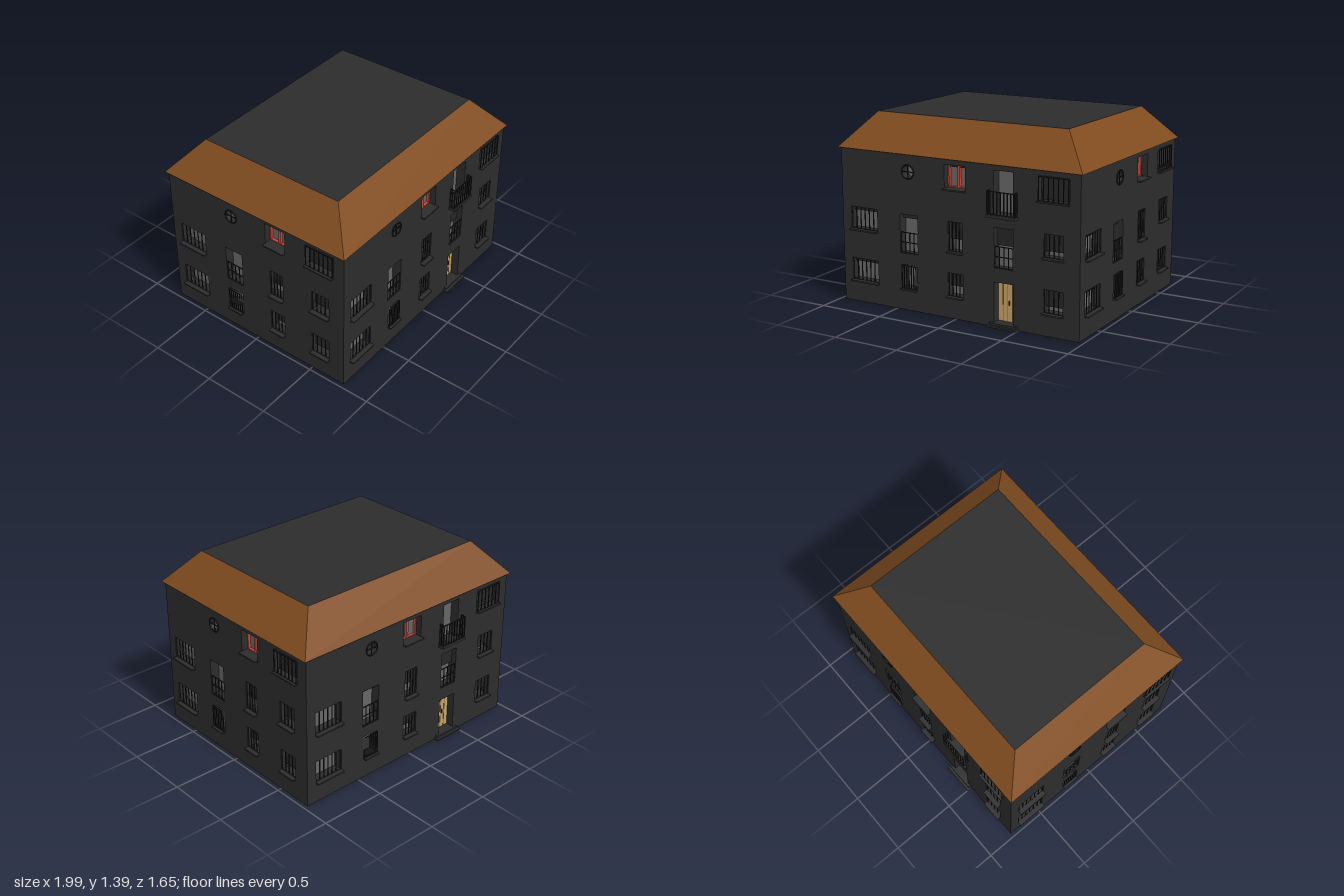
import * as THREE from 'three';

const mat = (color, flatShading = false) =>
  new THREE.MeshStandardMaterial({ color, side: THREE.DoubleSide, flatShading });
const M = {
  wall: mat(0x2c2c2c, true), iron: mat(0x1c1c1c), shutter: mat(0x262626), glass: mat(0x666666),
  red: mat(0xd04a38), wood: mat(0xc4a368), groove: mat(0x7d6438), roof: mat(0x804c20, true),
};
const DEPTH = 0.07;
const unitBox = new THREE.BoxGeometry(1, 1, 1);

function add(parent, name, geo, material, x = 0, y = 0, z = 0) {
  const m = new THREE.Mesh(geo, material);
  m.name = name;
  m.position.set(x, y, z);
  parent.add(m);
  return m;
}
// box given by its low and high limits
function box(parent, name, material, x0, x1, y0, y1, z0, z1) {
  const m = add(parent, name, unitBox, material, (x0 + x1) / 2, (y0 + y1) / 2, (z0 + z1) / 2);
  m.scale.set(x1 - x0, y1 - y0, z1 - z0);
  return m;
}
// row of upright bars with a top and a bottom rail
function bars(parent, name, w, y0, y1, z, n, x = 0) {
  const t = 0.003;
  for (let i = 0; i < n; i++) {
    const bx = x - w / 2 + t + (w - 2 * t) * i / (n - 1);
    box(parent, name, M.iron, bx - t, bx + t, y0, y1, z - t, z + t);
  }
  for (const y of [y0 + t, y1 - t]) box(parent, name + 'Rail', M.iron, x - w / 2, x + w / 2, y - t, y + t, z - t, z + t);
}
// open tube lining a wall opening: 4 sides for a rectangle, many for a round one
function reveal(parent, w, h, y, sides) {
  const r = sides === 4 ? Math.SQRT1_2 : 0.5;
  const g = new THREE.CylinderGeometry(r, r, DEPTH, sides, 1, true, Math.PI / 4);
  g.rotateX(Math.PI / 2).scale(w, h, 1);
  add(parent, 'reveal', g, M.wall, 0, y, -DEPTH / 2);
}

// Opening types: w width, y0..y1 height, shade = lower edge of roller shutter,
// n bars at depth bz up to barTop, sill
const columns = {
  A: [
    { w: 0.23, y0: 0.16, y1: 0.33, shade: 0.295, n: 7, sill: true },
    { w: 0.23, y0: 0.545, y1: 0.715, shade: 0.68, n: 7, sill: true },
  ],
  B: [
    { w: 0.125, y0: 0.16, y1: 0.335, n: 7, bz: 0.01, sill: true },
    { w: 0.15, y0: 0.42, y1: 0.705, shade: 0.67, n: 5, barTop: 0.575, mid: true },
    { kind: 'round', w: 0.1, y0: 0.965, y1: 1.065 },
  ],
  C: [
    { w: 0.125, y0: 0.16, y1: 0.335, shade: 0.23, n: 5, sill: true },
    { w: 0.115, y0: 0.485, y1: 0.705, shade: 0.57, n: 5, sill: true },
    { kind: 'red', w: 0.17, y0: 0.93, y1: 1.1, sill: true },
  ],
  D: [
    { kind: 'door', w: 0.15, y0: 0.03, y1: 0.32 },
    { w: 0.15, y0: 0.42, y1: 0.705, shade: 0.575, n: 5, barTop: 0.575, mid: true },
    { kind: 'balcony', w: 0.15, y0: 0.8, y1: 1.1 },
  ],
  E: [
    { w: 0.15, y0: 0.16, y1: 0.33, shade: 0.2, n: 5, sill: true },
    { w: 0.15, y0: 0.545, y1: 0.715, shade: 0.585, n: 5, sill: true },
    { w: 0.23, y0: 0.93, y1: 1.1, shade: 0.935, n: 7, bz: 0.01, sill: true },
  ],
};

function opening(o) {
  const g = new THREE.Group(), { w, y0, y1, kind } = o, h = w / 2, yc = (y0 + y1) / 2;
  g.name = kind ? kind + 'Opening' : 'window';
  reveal(g, w, y1 - y0, yc, kind === 'round' ? 24 : 4);
  if (kind === 'round') {
    add(g, 'roundGlass', new THREE.CircleGeometry(h, 24), M.glass, 0, yc, -DEPTH);
    add(g, 'roundFrame', new THREE.TorusGeometry(h, 0.005, 6, 24), M.iron, 0, yc, 0.005);
    box(g, 'crossBar', M.iron, -h, h, yc - 0.003, yc + 0.003, -0.003, 0.003);
    box(g, 'crossBar', M.iron, -0.003, 0.003, y0, y1, -0.003, 0.003);
    return g;
  }
  const pane = add(g, kind === 'door' ? 'door' : 'glass', new THREE.PlaneGeometry(w, y1 - y0),
    kind === 'door' ? M.wood : M.glass, 0, yc, -DEPTH);
  if (kind === 'door') {
    // plank grooves, handle and two entrance steps
    pane.position.z = -0.06;
    for (const x of [-0.037, 0, 0.037]) box(g, 'doorGroove', M.groove, x - 0.002, x + 0.002, y0, y1, -0.06, -0.057);
    box(g, 'doorHandle', M.iron, 0.01, 0.016, 0.15, 0.18, -0.06, -0.05);
    box(g, 'lowerStep', M.wall, -0.12, 0.12, 0.002, 0.015, -0.06, 0.04);
    box(g, 'upperStep', M.wall, -0.105, 0.105, 0.015, 0.03, -0.06, 0.02);
  }
  if (kind === 'red') {
    // two red casements
    const t = 0.009, z0 = -DEPTH, z1 = -DEPTH + 0.02;
    for (const y of [y0, y1 - t]) box(g, 'redFrame', M.red, -h, h, y, y + t, z0, z1);
    for (const x of [-h, -t, 0, h - t]) box(g, 'redFrame', M.red, x, x + t, y0, y1, z0, z1);
    box(g, 'shutter', M.shutter, -h + t, h - t, y1 - 0.025, y1 - t, z0, z0 + 0.01);
  }
  if (kind === 'balcony') {
    // slab with railing on three sides
    box(g, 'balconySlab', M.wall, -0.115, 0.115, 0.78, 0.8, -DEPTH, 0.047);
    bars(g, 'balconyBar', 0.22, 0.8, 0.965, 0.04, 9);
    for (const s of [-1, 1]) {
      const side = new THREE.Group();
      side.name = 'balconySide';
      bars(side, 'balconyBar', 0.04, 0.8, 0.965, 0, 3);
      side.rotation.y = Math.PI / 2;
      side.position.set(s * 0.107, 0, 0.02);
      g.add(side);
    }
  }
  if (o.shade) box(g, 'shutter', M.shutter, -h, h, o.shade, y1, -0.05, -0.04);
  if (o.n) bars(g, 'windowBar', w, y0, o.barTop ?? y1, o.bz ?? -0.008, o.n);
  if (o.mid) box(g, 'middleRail', M.iron, -h, h, 0.497, 0.503, -0.011, -0.005);
  if (o.sill) box(g, 'sill', M.wall, -h - 0.003, h + 0.003, y0 - 0.008, y0 + 0.003, -DEPTH, 0.03);
  return g;
}

// one wall with its openings, facing local +z
function facade(halfWidth, top, layout) {
  const g = new THREE.Group(), s = new THREE.Shape();
  s.moveTo(-halfWidth, 0).lineTo(halfWidth, 0).lineTo(halfWidth, top).lineTo(-halfWidth, top).closePath();
  for (const [key, x] of layout) {
    for (const o of columns[key]) {
      const hole = new THREE.Path(), h = o.w / 2;
      if (o.kind === 'round') hole.absarc(x, (o.y0 + o.y1) / 2, h, 0, Math.PI * 2, true);
      else hole.moveTo(x - h, o.y0).lineTo(x - h, o.y1).lineTo(x + h, o.y1).lineTo(x + h, o.y0).closePath();
      s.holes.push(hole);
      const part = opening(o);
      part.position.x = x;
      g.add(part);
    }
  }
  add(g, 'wall', new THREE.ShapeGeometry(s, 12), M.wall);
  return g;
}

export function createModel() {
  const house = new THREE.Group();
  house.name = 'house';
  const X = 0.967, Z = 0.777;
  const long = [['A', -0.775], ['B', -0.388], ['C', 0], ['D', 0.385], ['E', 0.77]];
  const short = [['A', -0.585], ['B', -0.198], ['C', 0.192], ['E', 0.577]];

  // four walls, opposite ones alike
  ['front', 'left', 'back', 'right'].forEach((name, i) => {
    const f = i % 2 ? facade(Z, 1.155, short) : facade(X, 1.152, long);
    f.name = name + 'Facade';
    f.rotation.y = i * Math.PI / 2;
    const d = i % 2 ? X : Z;
    f.position.set(Math.sin(f.rotation.y) * d, 0, Math.cos(f.rotation.y) * d);
    house.add(f);
  });

  // sloping roof skirt and flat top
  const skirt = new THREE.CylinderGeometry(1, 1, 0.25, 4, 1, true, Math.PI / 4).toNonIndexed();
  const p = skirt.attributes.position;
  for (let i = 0; i < p.count; i++) {
    const up = p.getY(i) > 0;
    p.setX(i, Math.sign(p.getX(i)) * (up ? 0.773 : 0.987));
    p.setZ(i, Math.sign(p.getZ(i)) * (up ? 0.58 : 0.794));
  }
  skirt.computeVertexNormals();
  add(house, 'roofSlopes', skirt, M.roof, 0, 1.265, 0);
  add(house, 'roofTop', new THREE.PlaneGeometry(1.546, 1.16).rotateX(-Math.PI / 2), M.wall, 0, 1.39, 0);
  return house;
}
